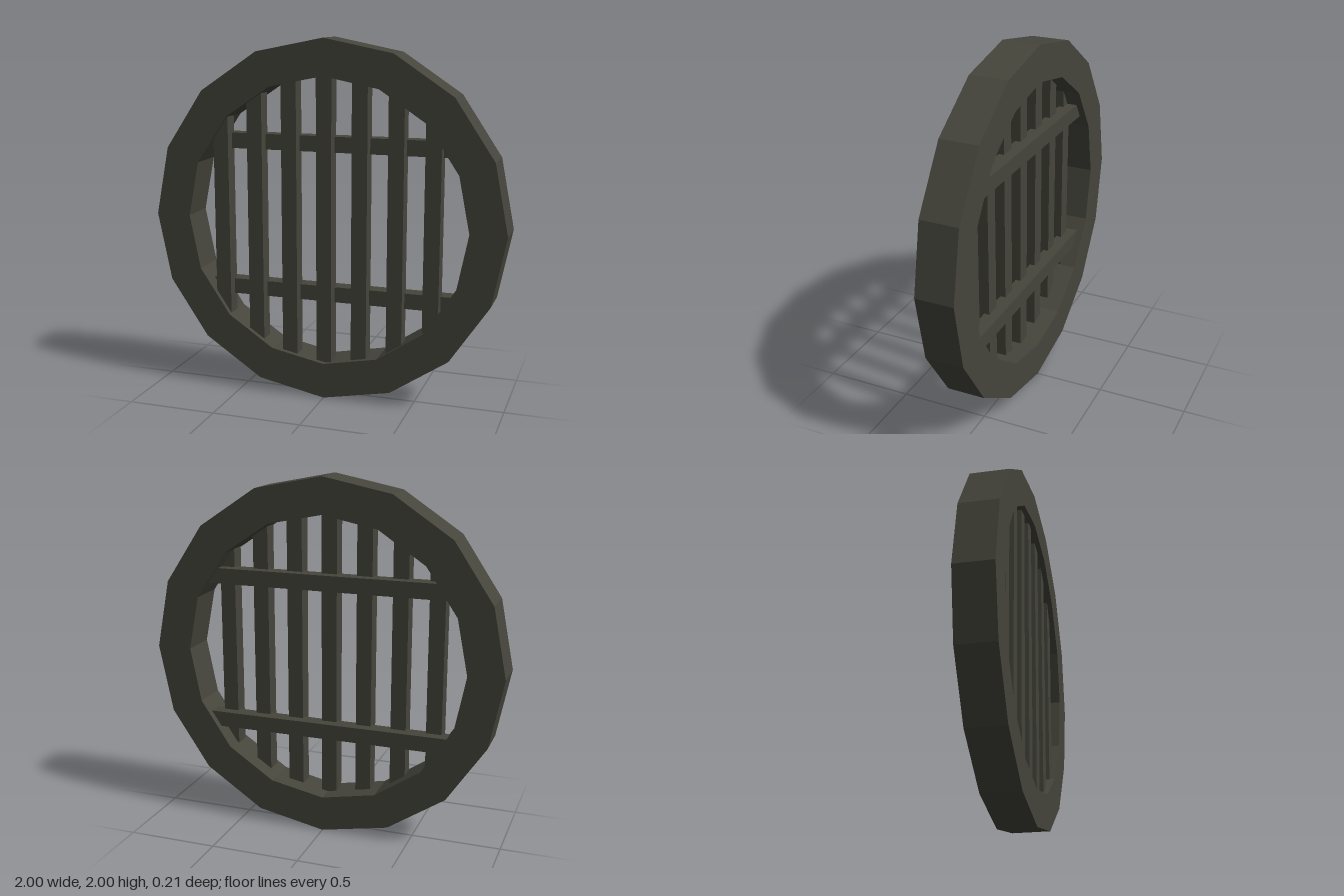
import * as THREE from 'three';

const SIDES = 16, OUTER = 1, INNER = 0.8, DEPTH = 0.212;

// Corners of a regular polygon with one corner straight up
function polygon(radius) {
  return Array.from({ length: SIDES }, (_, i) => {
    const a = Math.PI / 2 + (i / SIDES) * Math.PI * 2;
    return new THREE.Vector2(Math.cos(a) * radius, Math.sin(a) * radius);
  });
}

export function createModel() {
  const group = new THREE.Group();
  group.name = 'roundGrate';
  const iron = new THREE.MeshStandardMaterial({ color: 0x45453c, flatShading: true });
  iron.name = 'darkIron';

  const add = (name, geometry, x, y, z) => {
    const mesh = new THREE.Mesh(geometry, iron);
    mesh.name = name;
    mesh.position.set(x, y, z);
    group.add(mesh);
  };

  // Faceted outer ring
  const shape = new THREE.Shape(polygon(OUTER));
  shape.holes.push(new THREE.Path(polygon(INNER)));
  const ring = new THREE.ExtrudeGeometry(shape, { depth: DEPTH, bevelEnabled: false });
  add('ring', ring, 0, 1, -DEPTH / 2);

  // Upright bars in front, with ends buried in the ring
  const bar = 0.087;
  for (let i = -3; i <= 3; i++) {
    const x = -0.007 + i * 0.201;
    const length = 2 * Math.sqrt(0.85 ** 2 - x * x);
    add('uprightBar', new THREE.BoxGeometry(bar, length, bar), x, 1, 0.033);
  }

  // Two cross bars behind, let slightly into the uprights
  for (const y of [1.427, 0.583]) {
    add('crossBar', new THREE.BoxGeometry(1.46, bar, bar), 0, y, -0.024);
  }

  return group;
}
